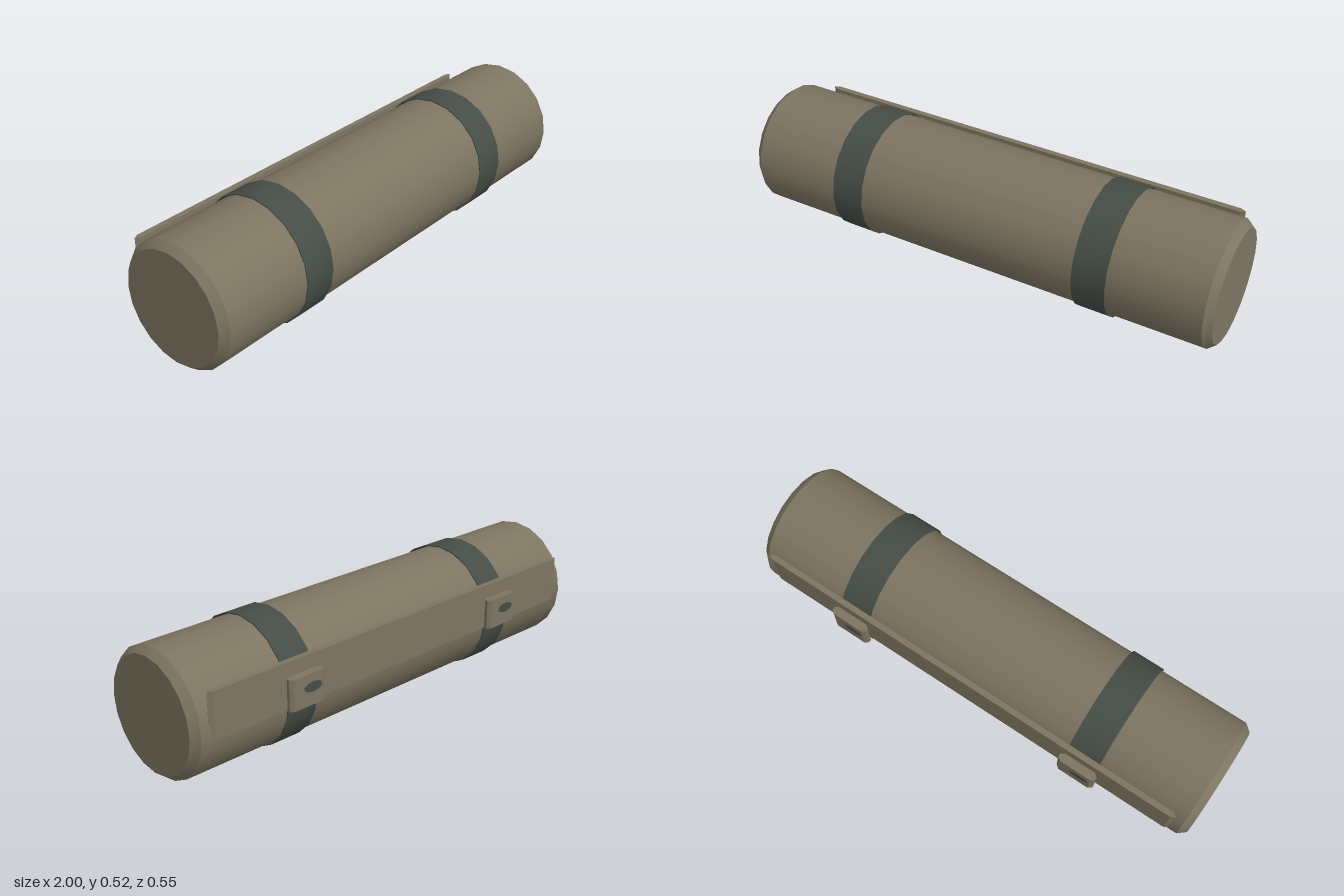
import * as THREE from 'three';
import { toCreasedNormals } from 'three/addons/utils/BufferGeometryUtils.js';

const SIDES = 20, CENTER_Y = 0.261, CENTER_Z = 0.016;

// Revolved profile of [radius, position] pairs, laid along the x axis
function turned(profile) {
  const points = profile.map(([r, p]) => new THREE.Vector2(r, p));
  const geometry = toCreasedNormals(new THREE.LatheGeometry(points, SIDES), 0.5);
  return geometry.rotateZ(-Math.PI / 2).translate(0, CENTER_Y, CENTER_Z);
}

// Upright plate on the back with chamfered side edges; near and far are distances behind z = 0
function plate(width, near, far, bottom, top, bevelX, bevelZ) {
  const w = width / 2;
  const shape = new THREE.Shape([
    [-w + bevelX, near], [w - bevelX, near], [w, near + bevelZ], [w, far - bevelZ],
    [w - bevelX, far], [-w + bevelX, far], [-w, far - bevelZ], [-w, near + bevelZ],
  ].map(([x, s]) => new THREE.Vector2(x, s)));
  const geometry = new THREE.ExtrudeGeometry(shape, { depth: top - bottom, bevelEnabled: false });
  return geometry.rotateX(-Math.PI / 2).translate(0, bottom, 0);
}

export function createModel() {
  const canvas = new THREE.MeshStandardMaterial({ color: 0x7d7461 });
  canvas.name = 'canvasTan';
  const webbing = new THREE.MeshStandardMaterial({ color: 0x454d46 });
  webbing.name = 'webbingGreen';

  const model = new THREE.Group();
  model.name = 'rolledPack';
  const add = (name, geometry, material, x = 0) => {
    const mesh = new THREE.Mesh(geometry, material);
    mesh.name = name;
    mesh.position.x = x;
    model.add(mesh);
  };

  // Roll with chamfered ends
  add('roll', turned([[0, -1], [0.225, -1], [0.25, -0.97], [0.25, 0.97], [0.225, 1], [0, 1]]), canvas);

  // Long flap along the back
  add('flap', plate(1.87, 0.217, 0.24, 0.232, 0.416, 0.02, 0.0112), canvas);

  // Straps, each with a buckle and its dark slot
  const strap = turned([[0.2545, -0.0675], [0.2585, -0.0675], [0.2585, 0.0675], [0.2545, 0.0675], [0.2545, -0.0675]]);
  const buckle = plate(0.163, 0.24, 0.275, 0.237, 0.36, 0.015, 0.0115);
  const slot = new THREE.CylinderGeometry(0.5, 0.5, 0.002, 10)
    .rotateX(Math.PI / 2).scale(0.085, 0.04, 1).translate(-0.02, 0.308, -0.2748);
  for (const [side, x] of [['left', 0.53], ['right', -0.53]]) {
    add(side + 'Strap', strap, webbing, x);
    add(side + 'Buckle', buckle, canvas, x);
    add(side + 'BuckleSlot', slot, webbing, x);
  }
  return model;
}
